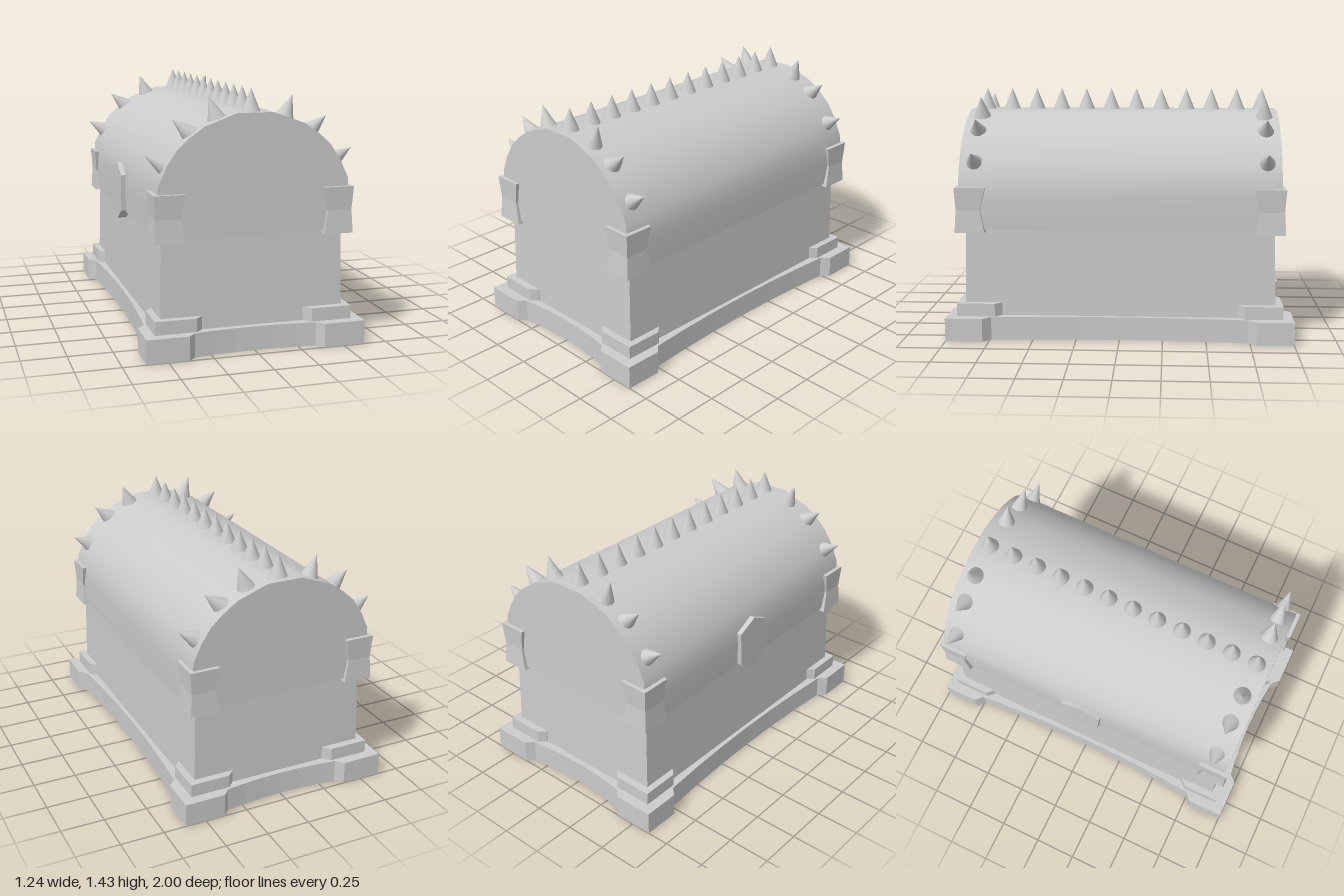
import * as THREE from 'three';
import { toCreasedNormals } from 'three/addons/utils/BufferGeometryUtils.js';

const flat = new THREE.MeshStandardMaterial({ color: 0xcccccc, flatShading: true });
const smooth = new THREE.MeshStandardMaterial({ color: 0xcccccc });

function add(parent, name, geometry, material = flat) {
  const mesh = new THREE.Mesh(geometry, material);
  mesh.name = name;
  parent.add(mesh);
  return mesh;
}

// Upright prism from an outline of [x, z] points.
function prism(points, y0, y1) {
  const shape = new THREE.Shape(points.map(([x, z]) => new THREE.Vector2(x, -z)));
  const g = new THREE.ExtrudeGeometry(shape, { depth: y1 - y0, bevelEnabled: false });
  return g.rotateX(-Math.PI / 2).translate(0, y0, 0);
}

// Skin over stacked rings { y, pts: [x, z] }, capped at both ends.
function loft(rings) {
  const n = rings[0].pts.length, pos = [], idx = [];
  rings.forEach(({ y, pts }) => pts.forEach(([x, z]) => pos.push(x, y, z)));
  for (let r = 0; r < rings.length - 1; r++) {
    for (let i = 0; i < n; i++) {
      const a = r * n + i, b = r * n + (i + 1) % n;
      idx.push(a, b, b + n, a, b + n, a + n);
    }
  }
  const top = (rings.length - 1) * n;
  for (let i = 1; i < n - 1; i++) idx.push(0, i + 1, i, top, top + i, top + i + 1);
  const g = new THREE.BufferGeometry();
  g.setAttribute('position', new THREE.Float32BufferAttribute(pos, 3));
  g.setIndex(idx);
  const out = g.toNonIndexed();
  out.computeVertexNormals();
  return out;
}

// Plinth outline: square corners, chamfers and edges that curve inwards.
function plinthOutline() {
  const q = [], steps = 3;
  for (let s = 0; s <= steps; s++) {
    const t = s / steps;
    q.push([0.345 * t, 0.932 + 0.025 * t * t]);
  }
  q.push([0.385, 1], [0.62, 1], [0.62, 0.785]);
  for (let s = steps; s >= 0; s--) {
    const t = s / steps;
    q.push([0.545 + 0.03 * t * t, 0.74 * t]);
  }
  const back = [...q].reverse();
  return [
    ...q,
    ...back.slice(1).map(([x, z]) => [x, -z]),
    ...q.slice(1).map(([x, z]) => [-x, -z]),
    ...back.slice(1, -1).map(([x, z]) => [-x, z]),
  ];
}

const rect = (x, z) => [[x, z], [x, -z], [-x, -z], [-x, z]];

// L-shaped section wrapped round a corner.
const angle = (x, z, xIn, zIn, t) =>
  [[x, z], [x, zIn], [x - t, zIn], [x - t, z - t], [xIn, z - t], [xIn, z]];

export function createModel() {
  const model = new THREE.Group();
  model.name = 'chest';

  // Base and box
  add(model, 'plinth', prism(plinthOutline(), 0, 0.135));
  add(model, 'body', loft([
    { y: 0.13, pts: rect(0.522, 0.898) },
    { y: 0.65, pts: rect(0.51, 0.885) },
  ]));

  // Barrel lid
  const half = [[0.535, 0.64], [0.54, 0.8], [0.533, 0.93], [0.487, 1.03], [0.43, 1.115],
    [0.365, 1.175], [0.28, 1.235], [0.19, 1.268], [0.1, 1.3]];
  const outline = [...half, ...[...half].reverse().map(([x, y]) => [-x, y])];
  const lidShape = new THREE.Shape(outline.map(([x, y]) => new THREE.Vector2(x, y)));
  const lid = new THREE.ExtrudeGeometry(lidShape, { depth: 1.84, bevelEnabled: false });
  lid.translate(0, 0, -0.92);
  add(model, 'lid', toCreasedNormals(lid, 0.7), smooth);

  // Foot and lid brackets on all four corners
  const foot = prism([[0.56, 0.94], [0.56, 0.72], [0.52, 0.68], [0.5, 0.68],
    [0.5, 0.88], [0.29, 0.88], [0.29, 0.9], [0.33, 0.94]], 0.13, 0.21);
  const bracket = loft([
    { y: 0.625, pts: angle(0.56, 0.943, 0.39, 0.77, 0.045) },
    { y: 0.755, pts: angle(0.552, 0.935, 0.413, 0.797, 0.04) },
    { y: 0.885, pts: angle(0.56, 0.943, 0.39, 0.765, 0.045) },
  ]);
  for (const sx of [1, -1]) {
    for (const sz of [1, -1]) {
      const side = (sz > 0 ? 'front' : 'back') + (sx > 0 ? 'Left' : 'Right');
      add(model, side + 'Foot', foot).scale.set(sx, 1, sz);
      add(model, side + 'Bracket', bracket).scale.set(sx, 1, sz);
    }
  }

  // Six-sided lock plate on the right side
  const plate = new THREE.Shape([[0, 0.925], [-0.125, 0.865], [-0.11, 0.65],
    [0, 0.585], [0.11, 0.65], [0.125, 0.865]].map(([z, y]) => new THREE.Vector2(z, y)));
  const lock = new THREE.ExtrudeGeometry(plate, { depth: 0.06, bevelEnabled: false });
  lock.rotateY(-Math.PI / 2).translate(-0.505, 0, 0);
  add(model, 'lockPlate', lock);

  // Spikes: a row along the ridge and an arc over each end
  const spikes = new THREE.Group();
  spikes.name = 'spikes';
  model.add(spikes);
  const cone = new THREE.ConeGeometry(0.052, 0.13, 16).translate(0, 0.065, 0);
  const up = new THREE.Vector3(0, 1, 0);
  function spike(base, tip, z) {
    const m = add(spikes, 'spike', cone, smooth);
    m.position.set(base[0], base[1], z);
    const dir = new THREE.Vector3(tip[0] - base[0], tip[1] - base[1], 0).normalize();
    m.quaternion.setFromUnitVectors(up, dir);
  }
  for (let i = 0; i < 12; i++) spike([0, 1.296], [0, 1.426], -0.837 + i * 0.152);
  const arc = [
    [[0.19, 1.262], [0.235, 1.385]],
    [[0.333, 1.183], [0.433, 1.266]],
    [[0.473, 1.019], [0.586, 1.085]],
  ];
  for (const z of [-0.837, 0.835]) {
    for (const s of [1, -1]) {
      arc.forEach(([b, t]) => spike([s * b[0], b[1]], [s * t[0], t[1]], z));
    }
  }
  return model;
}
